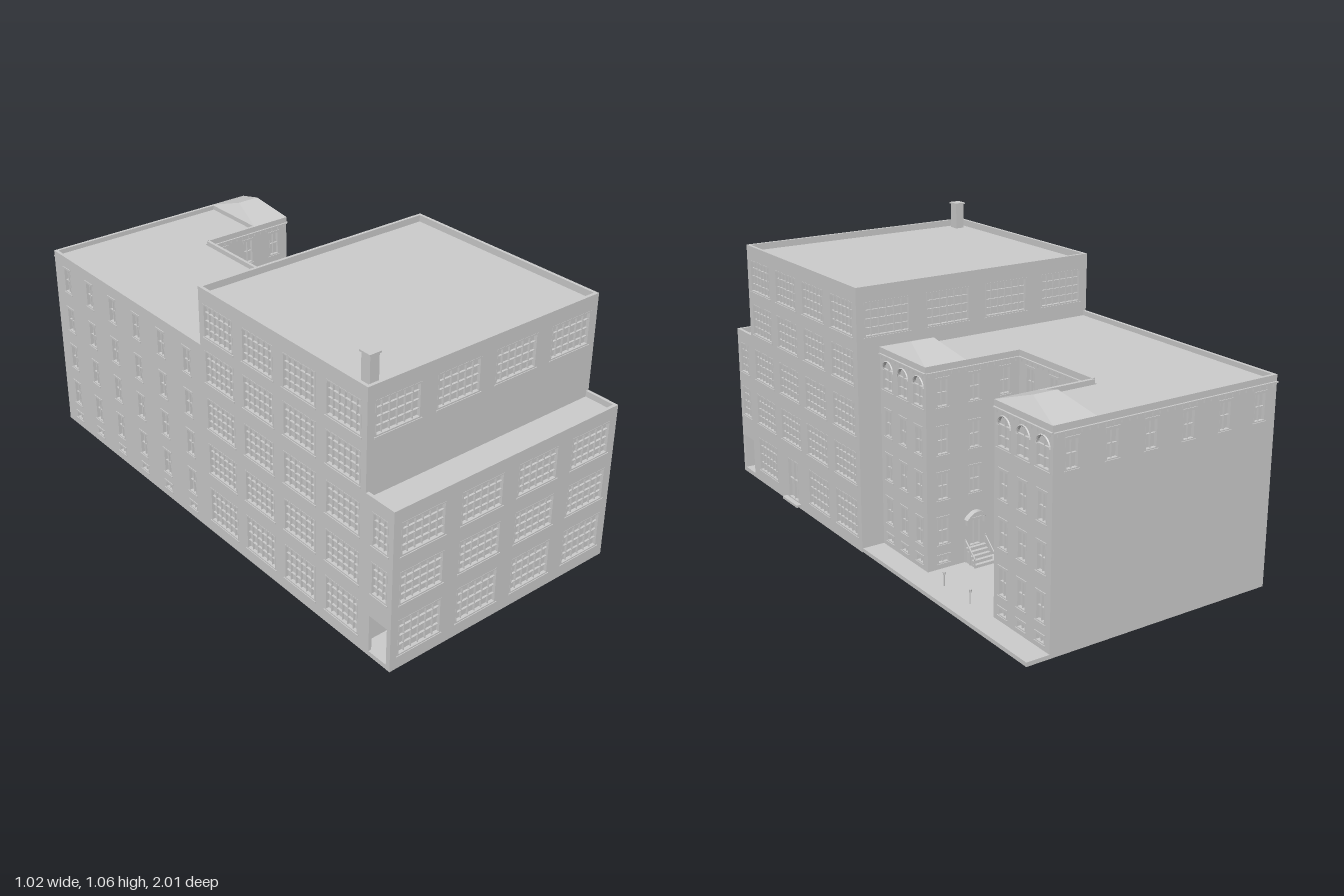
import * as THREE from 'three';
import { mergeGeometries } from 'three/addons/utils/BufferGeometryUtils.js';
import { ConvexGeometry } from 'three/addons/geometries/ConvexGeometry.js';

const T = 0.012; // wall thickness: depth of window reveals and parapets
const grey = new THREE.MeshStandardMaterial({ color: 0xcccccc, flatShading: true });

// Box given by its minimum and maximum corners
function block(x0, x1, y0, y1, z0, z1) {
  return new THREE.BoxGeometry(x1 - x0, y1 - y0, z1 - z0)
    .translate((x0 + x1) / 2, (y0 + y1) / 2, (z0 + z1) / 2);
}

function add(parent, name, parts) {
  const list = [].concat(parts).map(g => (g.index ? g.toNonIndexed() : g));
  const mesh = new THREE.Mesh(mergeGeometries(list), grey);
  mesh.name = name;
  parent.add(mesh);
  return mesh;
}

// Opening outline, optionally round-headed
function openingPath({ u, v, w, h, arch }) {
  const p = new THREE.Path();
  const r = w / 2, top = arch ? v + h - r : v + h;
  p.moveTo(u - r, v);
  p.lineTo(u + r, v);
  p.lineTo(u + r, top);
  if (arch) p.absarc(u, top, r, 0, Math.PI, false);
  else p.lineTo(u - r, top);
  p.lineTo(u - r, v);
  return p;
}

// Frame, glazing bars, sill and lintel of one opening
function joinery(o) {
  const { u, v, w, h, cols = 2, rows = 2, arch, trim, door } = o;
  const l = u - w / 2, r = u + w / 2, t = v + h, f = trim ? 0.004 : 0.005, out = [];
  const spring = arch ? t - w / 2 : t;
  const bar = (a, b, c, d, z = -0.004) => out.push(block(a, b, c, d, -T, z));
  bar(l, l + f, v, spring, 0.001);
  bar(r - f, r, v, spring, 0.001);
  bar(l, r, v, v + f, 0.001);
  if (!arch) bar(l, r, t - f, t, 0.001);
  for (let i = 1; i < cols; i++) {
    const x = l + w * i / cols;
    bar(x - 0.0012, x + 0.0012, v, t);
  }
  for (let j = 1; j < rows; j++) {
    const y = v + (spring - v) * j / rows;
    bar(l, r, y - 0.0012, y + 0.0012);
  }
  if (arch) {
    out.push(new THREE.TorusGeometry(w / 2, 0.003, 4, 14, Math.PI).translate(u, spring, 0));
    bar(l, r, spring - 0.002, spring + 0.002);
  }
  if (!door) bar(l - 0.004, r + 0.004, v - 0.006, v, 0.004);
  if (trim && !arch) bar(l - 0.004, r + 0.004, t, t + 0.006, 0.003);
  return out;
}

// Wall with its lower left corner (seen from outside) at pos, turned by ry
function wall(parent, name, ry, pos, outline, openings, dentils) {
  const pts = typeof outline[0] === 'number'
    ? [[0, 0], [outline[0], 0], outline, [0, outline[1]]] : outline;
  const shape = new THREE.Shape(pts.map(p => new THREE.Vector2(...p)));
  shape.holes = openings.map(openingPath);
  const parts = [new THREE.ExtrudeGeometry(shape, { depth: T, bevelEnabled: false, curveSegments: 8 })
    .translate(0, 0, -T)];
  for (const o of openings) if (!o.bare) parts.push(...joinery(o));
  if (dentils) {
    const w = outline[0], n = Math.round(w / 0.03);
    for (let i = 0; i < n; i++) {
      const x = (i + 0.5) * w / n;
      parts.push(block(x - 0.003, x + 0.003, 0.717, 0.728, 0, 0.006));
    }
    parts.push(block(0, w, 0.728, 0.733, 0, 0.007));
  }
  const m = add(parent, name, parts);
  m.position.set(...pos);
  m.rotation.y = ry;
  return m;
}

const E = Math.PI / 2, N = Math.PI, W = -Math.PI / 2;

// ---- Factory block ----
const FLOORS = [[0.05, 0.14], [0.25, 0.125], [0.435, 0.125], [0.62, 0.125], [0.795, 0.125]];
const factoryWindow = (u, floor, w = 0.183, cols = 6) =>
  ({ u, v: FLOORS[floor][0], h: FLOORS[floor][1], w, cols, rows: 4 });

function factory() {
  const g = new THREE.Group();
  g.name = 'factoryBlock';
  const x0 = -0.505, x1 = 0.49, width = x1 - x0, step = 0.865, front = 0.995;
  const bays = [0, 1, 2, 3].map(i => 0.1225 + 0.25 * i);

  add(g, 'tallCore', block(x0 + T, x1 - T, 0, 0.95, T, step - T));
  add(g, 'lowCore', [
    block(x0 + T, x1 - T, 0.175, 0.588, step - T, front - T),
    block(x0 + T, x1 - T, 0, 0.018, step - T, front - T),
    block(x0 + T, x1 - T, 0.018, 0.175, 0.977, front - T),
  ]);

  wall(g, 'frontWall', 0, [x0, 0, front], [width, 0.61],
    [0, 1, 2].flatMap(f => bays.map(u => factoryWindow(u, f))));
  const lift = 0.585;
  const raised = list => list.map(o => ({ ...o, v: o.v - lift }));
  wall(g, 'setbackWall', 0, [x0, lift, step], [width, 0.975 - lift],
    raised(bays.map(u => factoryWindow(u, 4))));
  wall(g, 'rearWall', N, [x1, lift, 0], [width, 0.975 - lift],
    raised(bays.map(u => factoryWindow(u, 4))));

  // Stepped side walls; the passage at the front runs right through
  for (const side of [1, -1]) {
    const toU = z => (side > 0 ? front - z : z);
    const openings = [{ u: toU(0.935), v: 0.018, w: 0.084, h: 0.142, bare: true }];
    for (let f = 0; f < 5; f++) {
      if (f === 1 || f === 2) openings.push(factoryWindow(toU(0.935), f, 0.075, 3));
      [0.108, 0.324, 0.54, 0.756].forEach((z, i) => {
        if (side > 0 && f === 0 && i === 2)
          openings.push({ u: toU(z), v: 0.02, w: 0.085, h: 0.165, cols: 2, rows: 2, door: true });
        else openings.push(factoryWindow(toU(z), f, 0.165));
      });
    }
    const outline = [[0, 0], [front, 0], [front, 0.61], [step, 0.61], [step, 0.975], [0, 0.975]]
      .map(([z, y]) => [toU(z), y]);
    wall(g, side > 0 ? 'leftSideWall' : 'rightSideWall', side * E,
      side > 0 ? [x1, 0, front] : [x0, 0, 0], outline, openings);
  }
  add(g, 'doorStep', block(x1, 0.51, 0.01, 0.02, 0.48, 0.6));
  add(g, 'chimney', [block(-0.468, -0.432, 0.95, 1.05, 0.79, 0.83),
    block(-0.473, -0.427, 1.05, 1.056, 0.786, 0.834)]);
  return g;
}

// ---- U-shaped apartment block ----
const SILLS = [0.105, 0.27, 0.435, 0.605];
// Columns of sash windows over basement lights
function sashes(us, { arched = false, doorAt = -1 } = {}) {
  return us.flatMap((u, i) => {
    const col = SILLS.map((v, f) => (arched && f === 3
      ? { u, v, w: 0.07, h: 0.107, arch: true } : { u, v, w: 0.047, h: 0.1, trim: true }));
    if (i === doorAt) col[0] = { u, v: 0.07, w: 0.05, h: 0.1, rows: 1, trim: true, door: true };
    else col.push({ u, v: 0.035, w: 0.047, h: 0.028, rows: 1, trim: true });
    return col;
  });
}

// Steps, sloping rails and arched hood in front of a courtyard door
function entrance(parent, pos, ry, depth) {
  const parts = [], n = 5, half = 0.04, rise = 0.055;
  for (let i = 0; i < n; i++)
    parts.push(block(-half, half, 0.012, 0.015 + rise * (n - i) / n, 0, depth * (i + 1) / n));
  for (const s of [-1, 1]) {
    const len = Math.hypot(depth, rise);
    parts.push(new THREE.BoxGeometry(0.004, 0.004, len).rotateX(Math.atan2(rise, depth))
      .translate(s * 0.042, 0.075, depth / 2));
    for (const [z, y] of [[0.004, 0.104], [depth / 2, 0.075], [depth - 0.003, 0.049]])
      parts.push(block(s * 0.042 - 0.002, s * 0.042 + 0.002, 0.015, y, z - 0.002, z + 0.002));
    parts.push(block(s * 0.036 - 0.004, s * 0.036 + 0.004, 0.155, 0.178, 0, 0.014)); // hood brackets
  }
  const hood = new THREE.Shape();
  hood.moveTo(-0.045, 0.178);
  hood.quadraticCurveTo(0, 0.232, 0.045, 0.178);
  hood.lineTo(0.034, 0.178);
  hood.quadraticCurveTo(0, 0.212, -0.034, 0.178);
  parts.push(new THREE.ExtrudeGeometry(hood, { depth: 0.022, bevelEnabled: false }));
  const m = add(parent, 'entrance', parts);
  m.position.set(...pos);
  m.rotation.y = ry;
}

function apartments() {
  const g = new THREE.Group();
  g.name = 'apartmentBlock';
  const x0 = -0.505, x1 = 0.4, cx = 0.02, H = 0.755, roof = 0.737;
  add(g, 'core', [block(x0 + T, cx - T, 0, roof, -1 + T, 0),
    block(cx - T, x1 - T, 0, roof, -1 + T, -0.7 - T), block(cx - T, x1 - T, 0, roof, -0.3 + T, 0)]);

  wall(g, 'rightSideWall', W, [x0, 0, -1], [1, H],
    sashes([0, 1, 2, 3, 4, 5].map(i => 0.09 + 0.164 * i)));
  wall(g, 'backWall', N, [x1, 0, -1], [x1 - x0, H],
    [0, 1, 2, 3, 4, 5].map(i => ({ u: 0.07 + 0.153 * i, v: 0.605, w: 0.05, h: 0.1, trim: true })), true);
  wall(g, 'courtEndWall', E, [cx, 0, -0.3], [0.4, H], sashes([0.065, 0.2, 0.335], { doorAt: 1 }), true);
  wall(g, 'courtBackWall', 0, [cx, 0, -0.7], [x1 - cx, H], sashes([0.06, 0.185, 0.315], { doorAt: 1 }), true);
  wall(g, 'courtFrontWall', N, [x1, 0, -0.3], [x1 - cx, H], sashes([0.065, 0.195, 0.32], { doorAt: 1 }), true);
  entrance(g, [cx, 0, -0.5], E, 0.085);
  entrance(g, [0.205, 0, -0.7], 0, 0.065);
  entrance(g, [0.205, 0, -0.3], N, 0.065);

  // Wing ends with arched top floor and hipped roof
  for (const z of [0, -0.7]) {
    wall(g, 'wingEndWall', E, [x1, 0, z], [0.3, H], sashes([0.05, 0.15, 0.25], { arched: true }), true);
    const pts = [];
    for (const y of [roof, H]) for (const x of [0.24, x1 + 0.002]) for (const dz of [0, -0.3])
      pts.push(new THREE.Vector3(x, y, z + dz));
    for (const x of [0.273, 0.365]) pts.push(new THREE.Vector3(x, 0.803, z - 0.15));
    add(g, 'hippedRoof', new ConvexGeometry(pts));
  }
  return g;
}

export function createModel() {
  const model = new THREE.Group();
  model.add(factory(), apartments());
  add(model, 'pavement', block(-0.5, 0.487, 0, 0.015, -1, 0));
  // Low lamp posts at the courtyard mouth
  for (const z of [-0.42, -0.58])
    add(model, 'lampPost', [new THREE.CylinderGeometry(0.0025, 0.0025, 0.045, 6).translate(0.41, 0.037, z),
      new THREE.CylinderGeometry(0.005, 0.004, 0.01, 6).translate(0.41, 0.062, z)]);
  return model;
}
